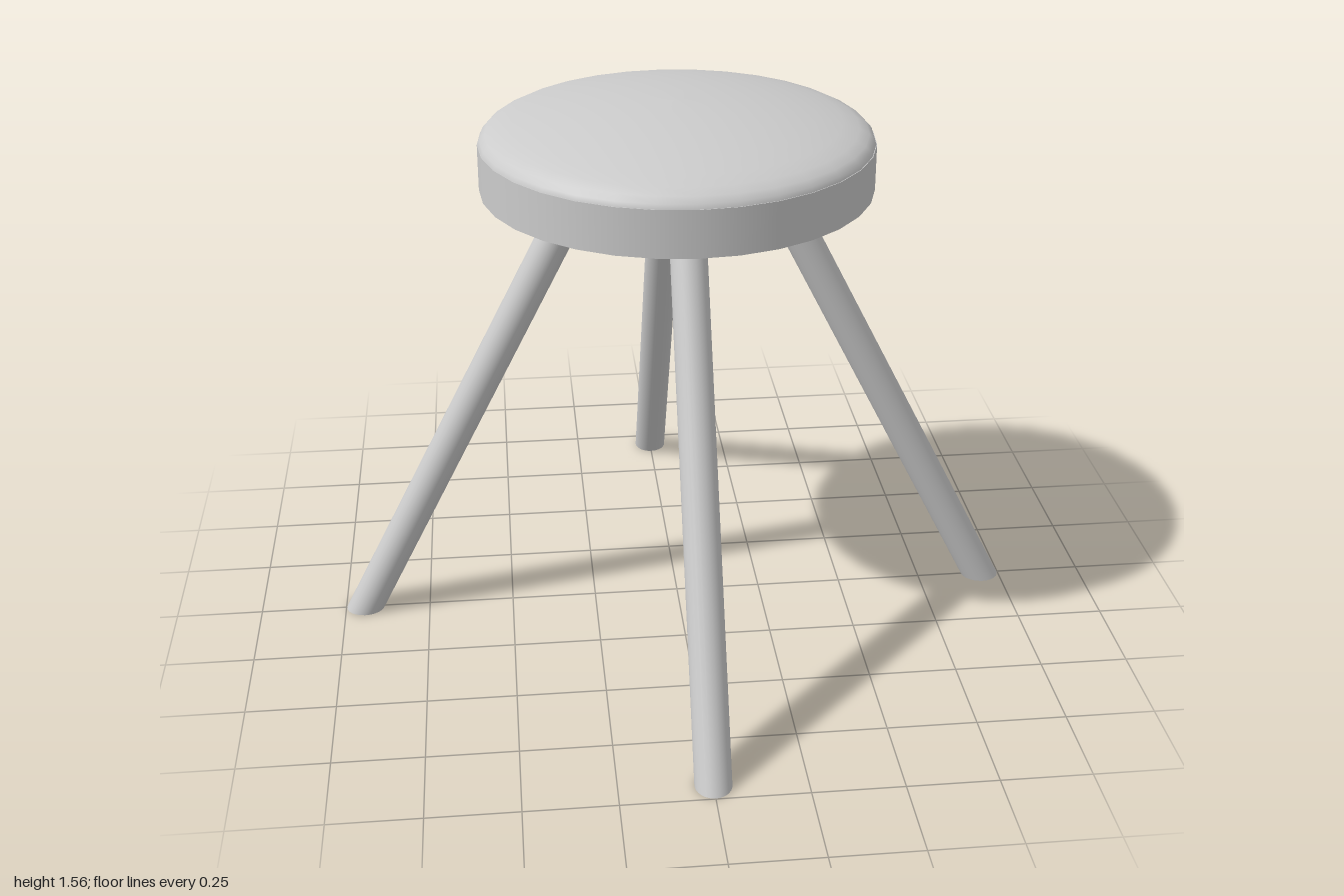
import * as THREE from 'three';

export function createModel() {
  const model = new THREE.Group();
  const material = new THREE.MeshStandardMaterial({ color: 0xcccccc });
  const add = (geometry, name) => {
    const mesh = new THREE.Mesh(geometry, material);
    mesh.name = name;
    model.add(mesh);
    return mesh;
  };

  // Flat round band of the seat
  const seatRadius = 0.543, seatBottom = 1.32, seatTop = 1.45;
  const band = add(new THREE.CylinderGeometry(seatRadius, seatRadius, seatTop - seatBottom, 32), 'seatBand');
  band.position.y = (seatBottom + seatTop) / 2;

  // Domed cushion with a rounded rim
  const rim = [[0.541, 1.45], [0.537, 1.463], [0.522, 1.478], [0.495, 1.492], [0.45, 1.506],
    [0.38, 1.522], [0.29, 1.538], [0.19, 1.55], [0.09, 1.557], [0, 1.559]];
  add(new THREE.LatheGeometry(rim.map(([r, y]) => new THREE.Vector2(r, y)), 32), 'cushion');

  // Splayed round legs, cut level at the floor and under the seat
  const footReach = 0.942, topReach = 0.265, legRadius = 0.05;
  const slope = (topReach - footReach) / seatBottom;
  const height = seatBottom + 0.01;
  const leg = new THREE.CylinderGeometry(legRadius, legRadius, height, 24);
  leg.scale(Math.hypot(1, slope), 1, 1);
  leg.translate(0, height / 2, 0);
  leg.applyMatrix4(new THREE.Matrix4().set(
    1, slope, 0, footReach,
    0, 1, 0, 0,
    0, 0, 1, 0,
    0, 0, 0, 1));
  ['leftLeg', 'backLeg', 'rightLeg', 'frontLeg'].forEach((name, i) => {
    add(leg, name).rotation.y = i * Math.PI / 2;
  });

  return model;
}
